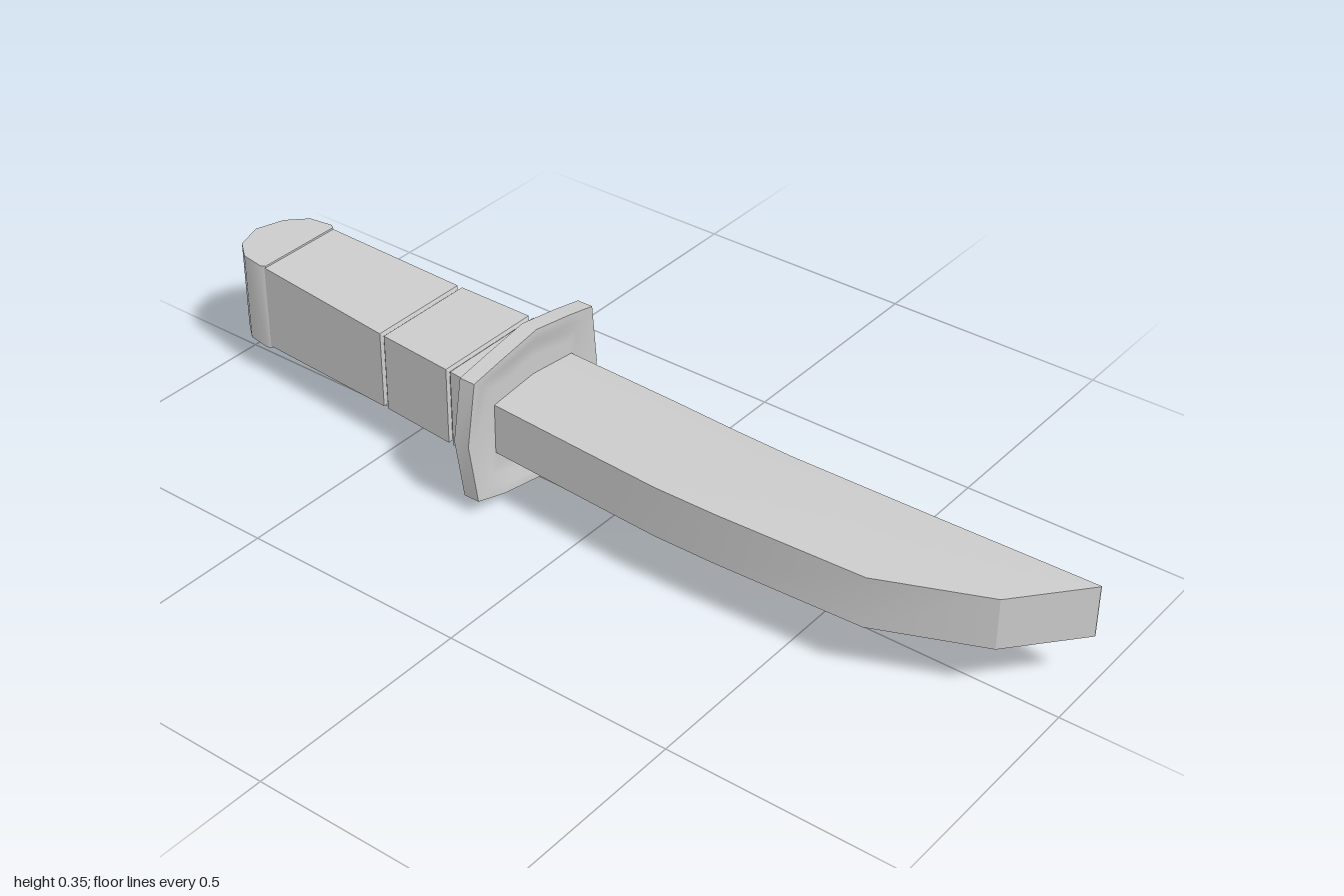
import * as THREE from 'three';
import { toCreasedNormals } from 'three/addons/utils/BufferGeometryUtils.js';

const MID = 0.177; // height of the knife's centre plane
const material = new THREE.MeshStandardMaterial({ color: 0xcccccc });

// Skin a list of rings; each ring holds [x, y, z] points running anticlockwise seen from +x.
function loft(rings, crease = 0.4) {
  const n = rings[0].length, index = [];
  for (let i = 0; i < rings.length - 1; i++) {
    for (let j = 0; j < n; j++) {
      const a = i * n + j, b = i * n + (j + 1) % n;
      index.push(a, b, a + n, b, b + n, a + n);
    }
  }
  const last = (rings.length - 1) * n;
  for (let j = 1; j < n - 1; j++) index.push(0, j + 1, j, last, last + j, last + j + 1);
  const geometry = new THREE.BufferGeometry();
  geometry.setAttribute('position', new THREE.Float32BufferAttribute(rings.flat(2), 3));
  geometry.setIndex(index);
  return toCreasedNormals(geometry, crease);
}

function addMesh(group, name, geometry) {
  const mesh = new THREE.Mesh(geometry, material);
  mesh.name = name;
  group.add(mesh);
}

// Rectangular section with an inset for the grooves
const boxRing = (x, back, front, half, inset = 0) => [
  [x, MID - half + inset, back + inset], [x, MID + half - inset, back + inset],
  [x, MID + half - inset, front - inset], [x, MID - half + inset, front - inset],
];

// Blade section: flat spine and edge, faces swelling to a central ridge
const bladeRing = ([x, back, front, ridge]) => {
  const edge = 0.056, mid = (back + front) / 2;
  return [
    [x, MID - edge, back], [x, MID + edge, back], [x, MID + ridge, mid],
    [x, MID + edge, front], [x, MID - edge, front], [x, MID - ridge, mid],
  ];
};

export function createModel() {
  const model = new THREE.Group();
  model.name = 'knife';

  // Blade: x, spine z, edge z, ridge half height
  const blade = [
    [-0.23, -0.12, 0.117, 0.068], [0.05, -0.109, 0.135, 0.068], [0.2, -0.101, 0.144, 0.068],
    [0.34, -0.096, 0.143, 0.068], [0.66, -0.1, 0.13, 0.063], [0.88, -0.104, 0.037, 0.058],
    [1, -0.106, -0.104, 0.056],
  ];
  addMesh(model, 'blade', loft(blade.map(bladeRing)));

  // Grip: tapered box with two narrow grooves
  const grip = [];
  const section = (x, inset) => {
    const t = (x + 0.88) / 0.64;
    const half = x < -0.52 ? 0.096 - 0.009 * (x + 0.88) / 0.36 : 0.087;
    grip.push(boxRing(x, -0.137, 0.068 + 0.057 * t, half, inset));
  };
  section(-0.9, 0);
  for (const x of [-0.52, -0.33]) {
    section(x - 0.006, 0);
    section(x - 0.003, 0.008);
    section(x + 0.003, 0.008);
    section(x + 0.006, 0);
  }
  section(-0.225, 0);
  addMesh(model, 'grip', loft(grip));

  // Pommel: rounded end, slightly thicker than the grip
  const outline = new THREE.Shape([
    [-0.875, 0.137], [-0.885, 0.143], [-0.94, 0.135], [-0.98, 0.095], [-1, 0.032],
    [-0.98, -0.03], [-0.94, -0.063], [-0.885, -0.072], [-0.875, -0.067],
  ].map(([x, y]) => new THREE.Vector2(x, y)));
  const pommel = new THREE.ExtrudeGeometry(outline, { depth: 0.2, bevelEnabled: false });
  pommel.rotateX(-Math.PI / 2).translate(0, MID - 0.1, 0);
  addMesh(model, 'pommel', toCreasedNormals(pommel, 0.7));

  // Guard: eight-cornered plate, its rim bent towards the blade most at top and bottom
  const quarter = [[0, -0.199, 0.001], [0.138, -0.18, 0.005], [0.157, -0.105, 0.01], [0.175, 0, 0.011]];
  const upper = [...quarter, ...quarter.slice(0, 3).reverse().map(([y, z, b]) => [y, -z, b])];
  const rim = [...upper, ...upper.slice(1, -1).reverse().map(([y, z, b]) => [-y, z, b])];
  const steps = [
    [-0.247, 0.62, 0], [-0.247, 0.75, 0], [-0.247, 0.88, 1], [-0.247, 1, 1],
    [-0.211, 1, 1], [-0.211, 0.88, 1], [-0.211, 0.75, 0], [-0.211, 0.62, 0],
  ];
  addMesh(model, 'guard', loft(steps.map(([x, scale, bend]) =>
    rim.map(([y, z, b]) => [x + b * bend, MID + y * scale, z * scale])), 0.5));

  return model;
}
